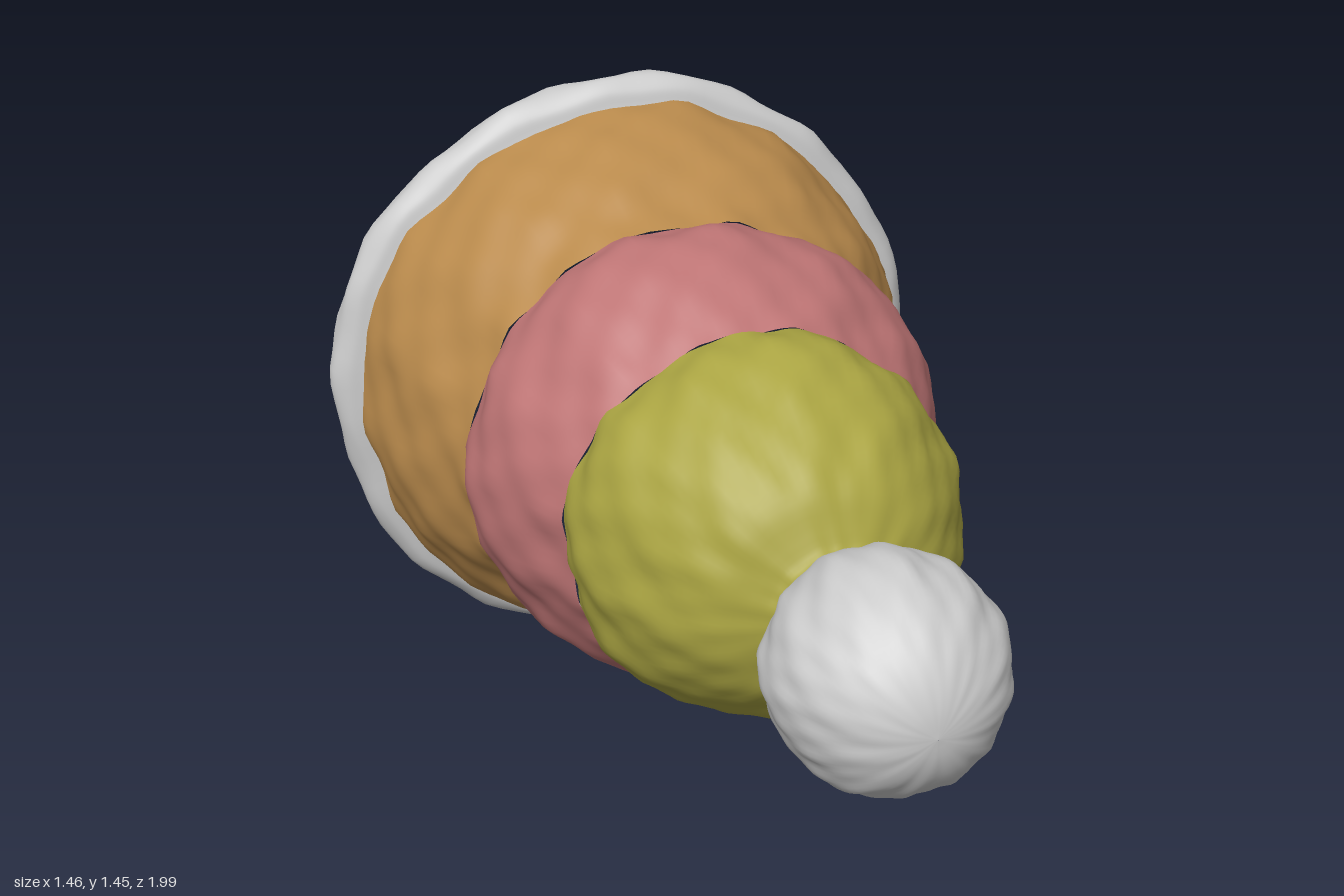
import * as THREE from 'three';

const AXIS_Y = 0.725;
const SEGMENTS = 112;
const GREY = 0xcccccc, ORANGE = 0xb98a4c, PINK = 0xbd7474, YELLOW = 0xaaa442;

// Soft fabric unevenness from layered waves
const wobble = (a, z) =>
  0.005 * Math.sin(5 * a + 7 * z) + 0.004 * Math.sin(11 * a - 13 * z + 1) +
  0.0025 * Math.sin(23 * a + 31 * z) + 0.002 * Math.sin(17 * a - 47 * z);

// Slightly polygonal outline
function facet(a, sides) {
  const step = (2 * Math.PI) / sides;
  const local = ((a % step) + step) % step - step / 2;
  return 1 + 0.6 * (Math.cos(step / 2) / Math.cos(local) - 1);
}

// Dents (+) and lumps (-) of the underside: x, y, radius, depth
const relief = [
  [-0.02, 0.67, 0.1, 0.07], [0.12, 0.66, 0.07, 0.04], [-0.16, 0.72, 0.08, 0.035],
  [-0.05, 0.4, 0.03, 0.06], [0.2, 0.85, 0.08, 0.03], [-0.25, 0.5, 0.07, 0.02],
  [0.05, 0.88, 0.12, -0.035], [-0.18, 0.6, 0.09, -0.025], [0.1, 0.52, 0.1, -0.02],
  [-0.2, 0.92, 0.1, -0.02], [0.32, 0.65, 0.1, -0.015],
];
function undersideOffset(x, y, r) {
  const fade = THREE.MathUtils.smoothstep(0.64 - r, 0, 0.15);
  let d = 0.007 * Math.sin(14 * x + 5 * y) * Math.sin(13 * y - 4 * x) +
    0.004 * Math.sin(31 * x) * Math.sin(27 * y + 1);
  for (const [px, py, s, depth] of relief)
    d += depth * Math.exp(-((x - px) ** 2 + (y - py) ** 2) / (s * s));
  return d * fade;
}

// Coloured yarn showing through the underside: x, y, radius, colour index
const patches = [
  [0.04, 0.88, 0.09, 1], [-0.02, 0.78, 0.07, 1], [0.16, 0.62, 0.09, 1],
  [-0.12, 0.56, 0.1, 1], [-0.24, 0.63, 0.06, 2], [-0.25, 0.52, 0.06, 1],
  [0.14, 0.37, 0.06, 1], [-0.05, 0.4, 0.035, 2], [0.01, 0.6, 0.08, 1],
];
function patchAt(x, y) {
  for (const [px, py, r, colour] of patches) {
    const a = Math.atan2(y - py, x - px);
    if (Math.hypot(x - px, y - py) < r * (1 + 0.25 * Math.sin(3 * a + px * 40))) return colour;
  }
  return 0;
}

// Closed rings swept backwards along z from [z, radius] points
function sweep(name, colours, profile, { rings = 32, sides = 16, centre, underside = false }) {
  const curve = new THREE.CatmullRomCurve3(profile.map(([z, r]) => new THREE.Vector3(z, r, 0)));
  const pos = [], faces = colours.map(() => []);
  for (let i = 0; i <= rings; i++) {
    const p = curve.getPoint(i / rings), z = p.x, r = Math.max(p.y, 0.0005);
    const cx = centre ?? 0.046 * (z + 0.8);
    for (let j = 0; j < SEGMENTS; j++) {
      const a = (j / SEGMENTS) * Math.PI * 2;
      const rr = r * facet(a + 0.1, sides) + wobble(a, z) * Math.min(1, r / 0.4);
      const x = cx + rr * Math.cos(a), y = AXIS_Y + rr * Math.sin(a);
      pos.push(x, y, z + (underside && z < -0.88 ? undersideOffset(x, y, r) : 0));
    }
  }
  for (let i = 0; i < rings; i++) for (let j = 0; j < SEGMENTS; j++) {
    const k = (j + 1) % SEGMENTS;
    const a = i * SEGMENTS + j, b = i * SEGMENTS + k, c = a + SEGMENTS, d = b + SEGMENTS;
    const back = underside && pos[a * 3 + 2] < -0.88;
    faces[back ? patchAt(pos[a * 3], pos[a * 3 + 1]) : 0].push(a, c, b, b, c, d);
  }
  const geo = new THREE.BufferGeometry();
  geo.setAttribute('position', new THREE.Float32BufferAttribute(pos, 3));
  geo.setIndex(faces.flat());
  geo.computeVertexNormals();
  let start = 0;
  faces.forEach((f, m) => { geo.addGroup(start, f.length, m); start += f.length; });
  const mats = colours.map((color) => new THREE.MeshStandardMaterial({ color, roughness: 1 }));
  const mesh = new THREE.Mesh(geo, mats.length > 1 ? mats : mats[0]);
  mesh.name = name;
  return mesh;
}

export function createModel() {
  const group = new THREE.Group();
  group.name = 'bobbleHat';

  // Bobble: a rounded ball narrowing into the neck
  const ball = [[1, 0]];
  for (let i = 1; i <= 12; i++) {
    const t = (i / 12) * Math.PI * 0.8;
    ball.push([0.745 + 0.255 * Math.cos(t), 0.242 * Math.sin(t)]);
  }
  ball.push([0.5, 0.14]);
  group.add(sweep('bobble', [GREY], ball, { sides: 12, centre: 0.07 }));

  // Three coloured bands, widening towards the brim
  group.add(sweep('crownBand', [YELLOW],
    [[0.56, 0.135], [0.52, 0.142], [0.495, 0.18], [0.46, 0.245], [0.4, 0.305], [0.3, 0.372],
      [0.2, 0.418], [0.13, 0.432], [0.05, 0.423]], { sides: 15 }));
  group.add(sweep('middleBand', [PINK],
    [[0.05, 0.423], [0, 0.455], [-0.1, 0.508], [-0.18, 0.535], [-0.26, 0.543], [-0.34, 0.525]],
    { sides: 16 }));
  group.add(sweep('lowerBand', [ORANGE],
    [[-0.34, 0.525], [-0.4, 0.548], [-0.5, 0.602], [-0.6, 0.64], [-0.7, 0.665], [-0.78, 0.675]],
    { sides: 17 }));

  // Brim roll continuing into the crumpled closed underside
  group.add(sweep('brimAndUnderside', [GREY, ORANGE, PINK],
    [[-0.75, 0.665], [-0.762, 0.7], [-0.79, 0.723], [-0.83, 0.72], [-0.87, 0.7], [-0.91, 0.66],
      [-0.94, 0.6], [-0.955, 0.53], [-0.96, 0.44], [-0.96, 0.34], [-0.96, 0.24],
      [-0.96, 0.16], [-0.96, 0.08], [-0.96, 0]],
    { rings: 80, sides: 40, underside: true }));

  return group;
}
